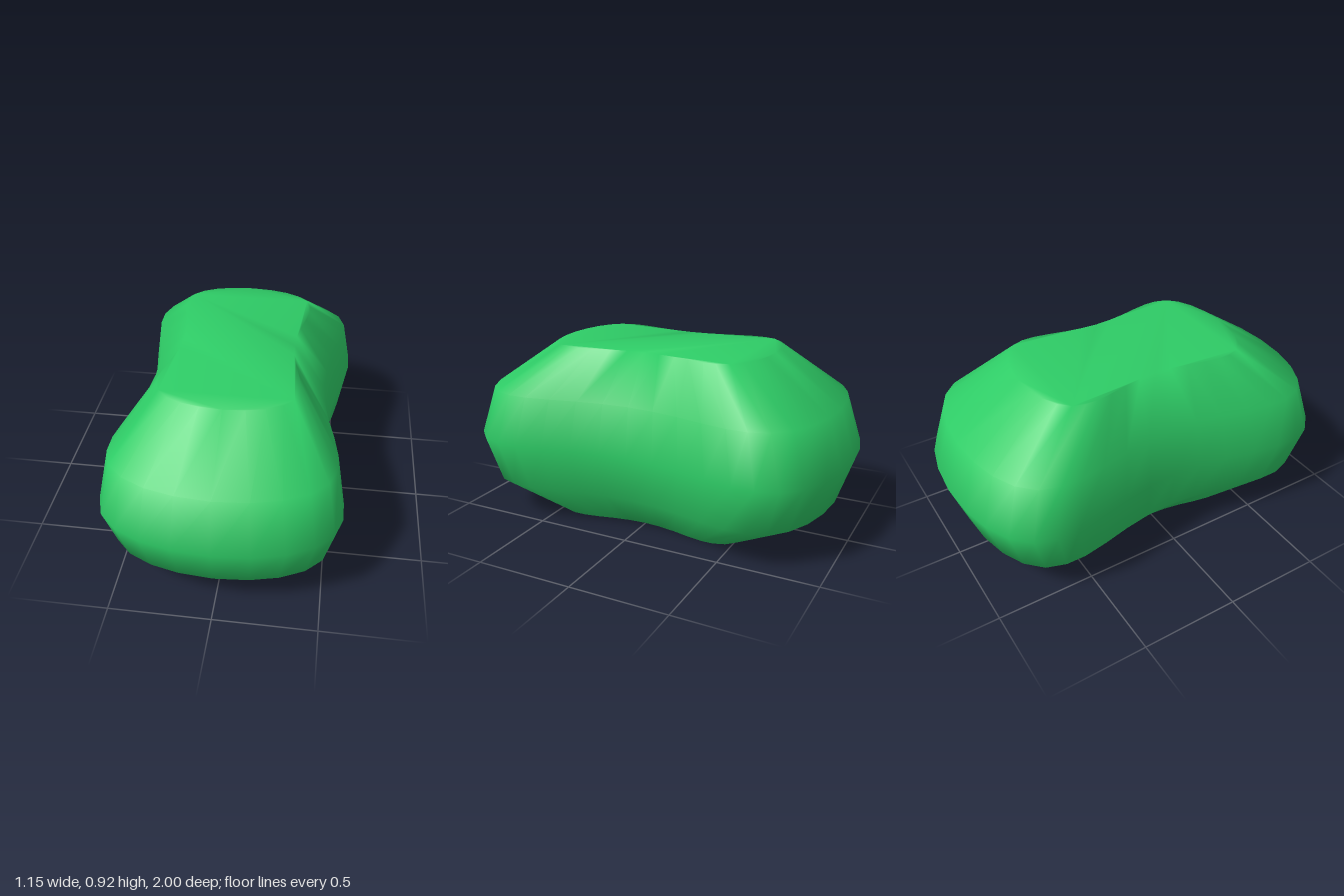
import * as THREE from 'three';

// One quarter of the peanut-shaped outline, from the waist to the end (x, length)
const QUARTER = [
  [0.48, 0], [0.49, 0.15], [0.515, 0.3], [0.55, 0.45], [0.575, 0.59], [0.575, 0.7],
  [0.54, 0.805], [0.455, 0.89], [0.33, 0.95], [0.18, 0.986], [0, 1],
];

// Height and outline scale of each ring, bottom to top
const RINGS = [[0, 0.58], [0.195, 0.92], [0.43, 1], [0.682, 0.92], [0.917, 0.58]];

// Mirror the quarter into a closed counter-clockwise outline
function makeOutline() {
  const half = [...QUARTER, ...QUARTER.slice(0, -1).reverse().map(([x, l]) => [-x, l])];
  const rest = half.slice(0, -1).map(([x, l]) => [-x, -l]);
  return [...half.slice(0, -1), ...rest].map(([x, l]) => new THREE.Vector2(x, l));
}

function makeBodyGeometry() {
  const outline = makeOutline();
  const n = outline.length;
  const positions = [];
  const index = [];

  for (const [y, scale] of RINGS) {
    for (const p of outline) positions.push(p.x * scale, y, -p.y * scale);
  }

  // Walls between neighbouring rings
  for (let r = 0; r < RINGS.length - 1; r++) {
    for (let i = 0; i < n; i++) {
      const a = r * n + i;
      const b = r * n + (i + 1) % n;
      index.push(a, b, b + n, a, b + n, a + n);
    }
  }

  // Flat top and bottom
  const top = (RINGS.length - 1) * n;
  for (const [a, b, c] of THREE.ShapeUtils.triangulateShape(outline, [])) {
    index.push(top + a, top + b, top + c, a, c, b);
  }

  const geometry = new THREE.BufferGeometry();
  geometry.setAttribute('position', new THREE.Float32BufferAttribute(positions, 3));
  geometry.setIndex(index);
  geometry.computeVertexNormals();
  return geometry;
}

export function createModel() {
  const group = new THREE.Group();
  const body = new THREE.Mesh(
    makeBodyGeometry(),
    new THREE.MeshStandardMaterial({ color: 0x2ecc66 }),
  );
  body.name = 'peanutBody';
  group.add(body);
  return group;
}
